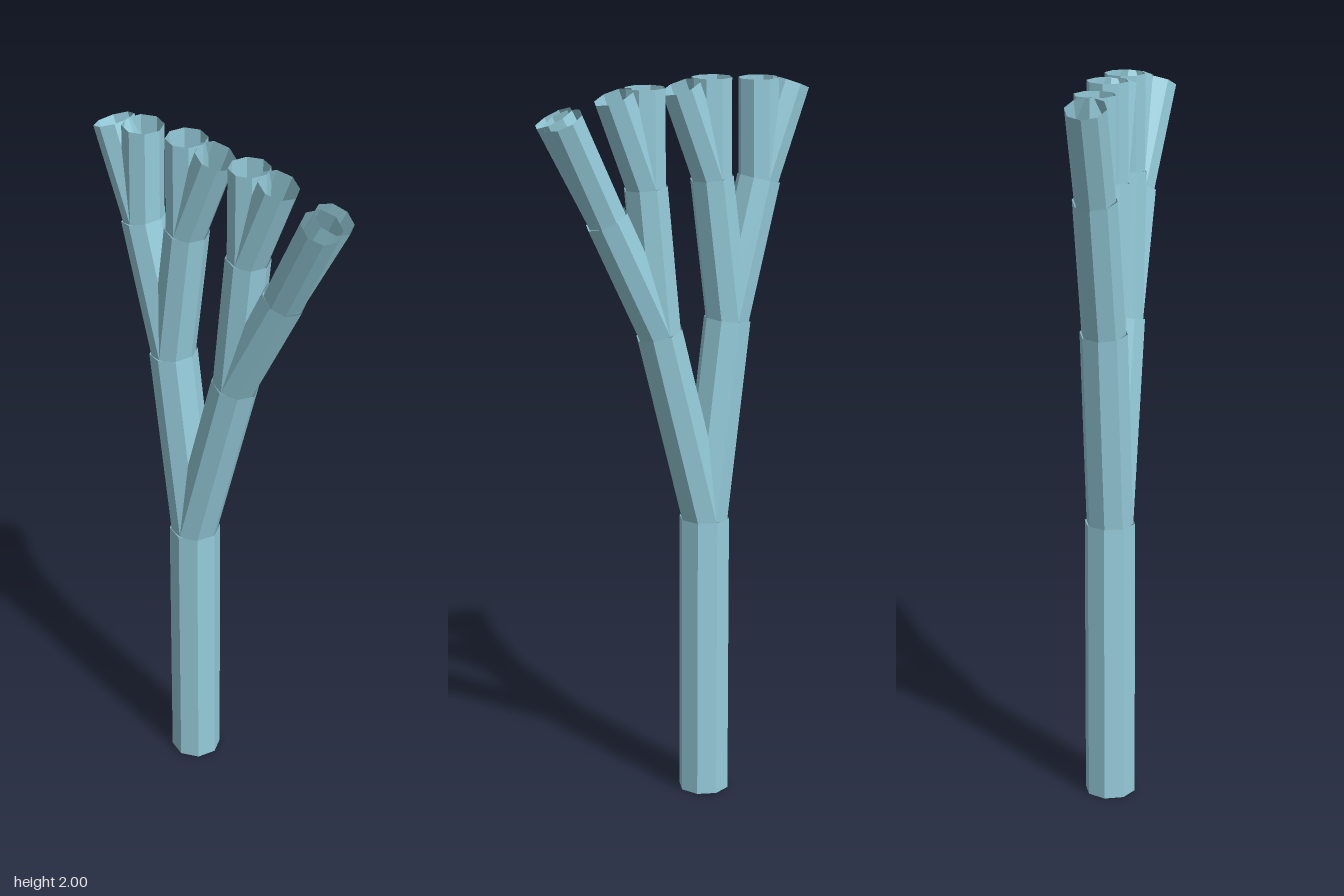
import * as THREE from 'three';

const Z = -0.007;
const RADII = [0.07, 0.065, 0.06, 0.055];
const NAMES = ['trunk', 'limb', 'branch', 'twig'];

// Each node: end point of its segment, followed by its children
const node = (x, y, z = Z, children = []) => ({ end: new THREE.Vector3(x, y, z), children });

const tree = node(-0.088, 0.795, Z, [
  node(-0.158, 1.345, Z, [
    node(-0.254, 1.72, Z, [node(-0.349, 1.972), node(-0.251, 1.99)]),
    node(-0.108, 1.735, Z, [node(-0.107, 2), node(-0.013, 1.98)]),
  ]),
  node(0.053, 1.33, Z, [
    node(0.093, 1.725, Z, [node(0.095, 1.985), node(0.187, 1.967)]),
    node(0.21, 1.65, Z, [node(0.345, 1.92, -0.025), node(0.345, 1.92, 0.025)]),
  ]),
]);

export function createModel() {
  const model = new THREE.Group();
  model.name = 'branchingTree';
  const material = new THREE.MeshStandardMaterial({
    color: 0x96cddc, flatShading: true, side: THREE.DoubleSide,
  });
  const up = new THREE.Vector3(0, 1, 0);
  const counts = [0, 0, 0, 0];

  // Open eight-sided tube from start to the node, then its forks
  function grow(start, { end, children }, level) {
    const dir = end.clone().sub(start);
    const length = dir.length();
    const geometry = new THREE.CylinderGeometry(RADII[level], RADII[level], length, 8, 1, true);
    const tube = new THREE.Mesh(geometry, material);
    tube.name = level ? NAMES[level] + ++counts[level] : NAMES[0];
    tube.quaternion.setFromUnitVectors(up, dir.normalize());
    tube.position.copy(start).add(end).multiplyScalar(0.5);
    model.add(tube);
    for (const child of children) grow(end, child, level + 1);
  }

  grow(new THREE.Vector3(-0.088, 0, Z), tree, 0);
  return model;
}
